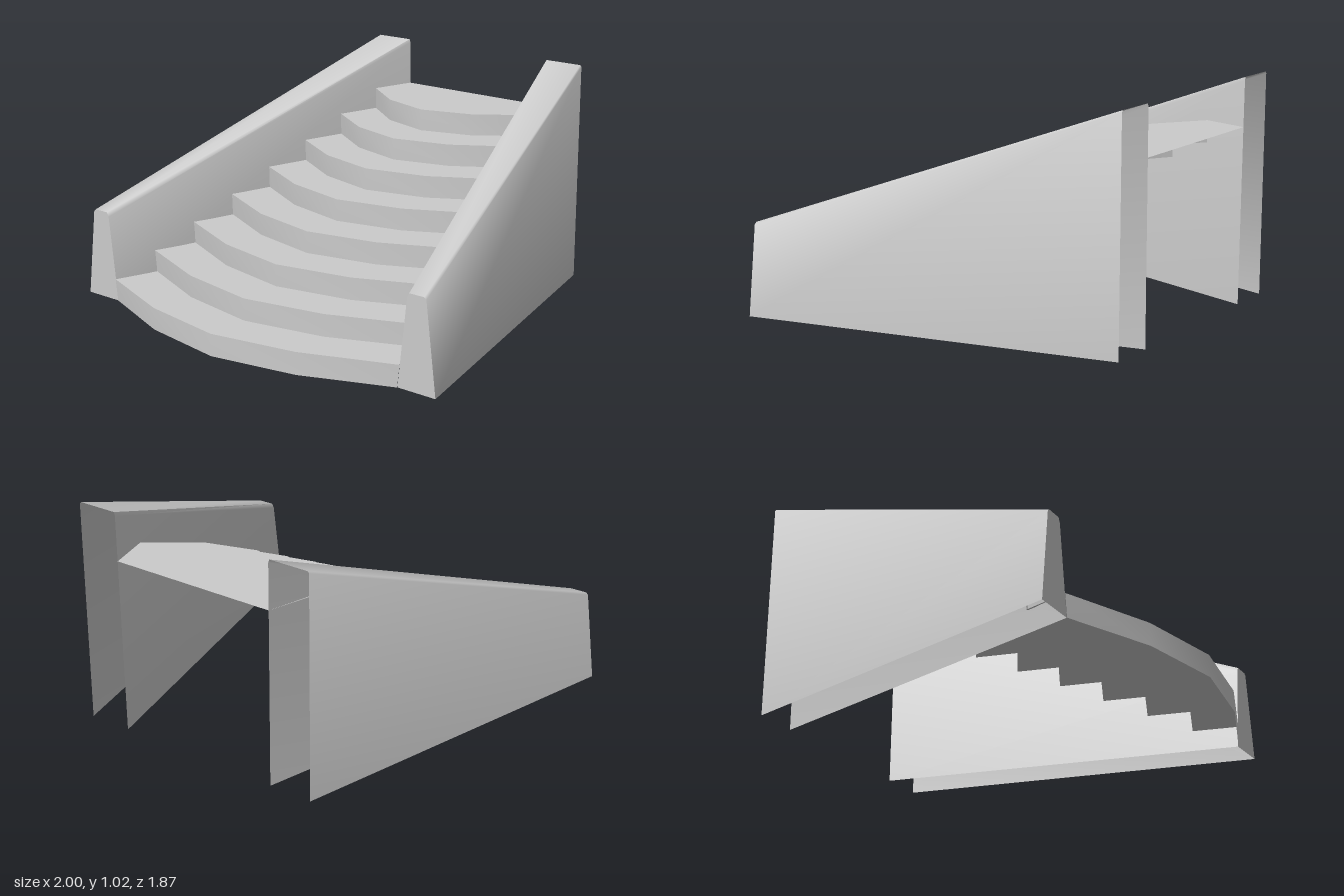
import * as THREE from 'three';
import { toCreasedNormals } from 'three/addons/utils/BufferGeometryUtils.js';

const FRONT = 0.70, BACK = -0.935;
const STEPS = 8, RISE = 0.1, RUN = 0.2045;
const lerp = THREE.MathUtils.lerp;

// Wall cross-sections [x, y], from the outer foot over the top to the inner foot
const FRONT_PROFILE = [[1, 0], [0.95, 0.4], [0.94, 0.41], [0.865, 0.41], [0.855, 0.39], [0.81, 0]];
const BACK_PROFILE = [[0.597, 0], [0.597, 1.012], [0.59, 1.02], [0.405, 1.02], [0.4, 1.005], [0.393, 0]];

// Inner face of the side wall at a given height and depth
function wallX(y, z) {
  const t = (FRONT - z) / (FRONT - BACK);
  return lerp(lerp(0.81, 0.393, t), lerp(0.855, 0.4, t), y / lerp(0.39, 1.005, t));
}

// Surface lofted through rows of [x, y, z] points
function loft(rows) {
  const n = rows[0].length, index = [];
  for (let r = 0; r < rows.length - 1; r++) {
    for (let i = 0; i < n - 1; i++) {
      const a = r * n + i, b = a + 1, c = a + n, d = c + 1;
      index.push(a, b, c, b, d, c);
    }
  }
  const geo = new THREE.BufferGeometry();
  geo.setAttribute('position', new THREE.Float32BufferAttribute(rows.flat(2), 3));
  geo.setIndex(index);
  geo.computeVertexNormals();
  return toCreasedNormals(geo, Math.PI / 3);
}

// Bowed front edge of step k at height y
function nosing(k, y) {
  const z = 0.93 - k * RUN, endZ = z - 0.228;
  const end = wallX(y, endZ), mid = 0.41 - k * 0.0243;
  return [[-end, y, endZ], [-mid, y, z - 0.07], [0, y, z], [mid, y, z - 0.07], [end, y, endZ]];
}

export function createModel() {
  const model = new THREE.Group();
  const material = new THREE.MeshStandardMaterial({ color: 0xcccccc, side: THREE.DoubleSide });
  const add = (parent, name, geometry) => {
    const mesh = new THREE.Mesh(geometry, material);
    mesh.name = name;
    parent.add(mesh);
  };

  // Curved steps: open shells of risers and treads
  const stairs = new THREE.Group();
  stairs.name = 'stairs';
  model.add(stairs);
  for (let k = 0; k < STEPS; k++) {
    const y = (k + 1) * RISE;
    const edge = nosing(k, y);
    const topEnd = wallX(y, BACK);
    const back = k < STEPS - 1
      ? nosing(k + 1, y)
      : [-1, -0.5, 0, 0.5, 1].map((f) => [f * topEnd, y, BACK]);
    add(stairs, 'riser', loft([nosing(k, y - RISE), edge]));
    add(stairs, 'tread', loft([edge, back]));
  }

  // Sloping side walls: hollow, open at the back and underneath
  for (const s of [1, -1]) {
    const wall = new THREE.Group();
    wall.name = s > 0 ? 'leftWall' : 'rightWall';
    model.add(wall);
    const rows = [
      BACK_PROFILE.map(([x, y]) => [s * x, y, BACK]),
      FRONT_PROFILE.map(([x, y]) => [s * x, y, FRONT]),
    ];
    add(wall, 'wallShell', loft(s > 0 ? rows : rows.reverse()));

    const shape = new THREE.Shape(FRONT_PROFILE.map(([x, y]) => new THREE.Vector2(s * x, y)));
    add(wall, 'wallFront', new THREE.ShapeGeometry(shape).translate(0, 0, FRONT));
  }
  return model;
}
